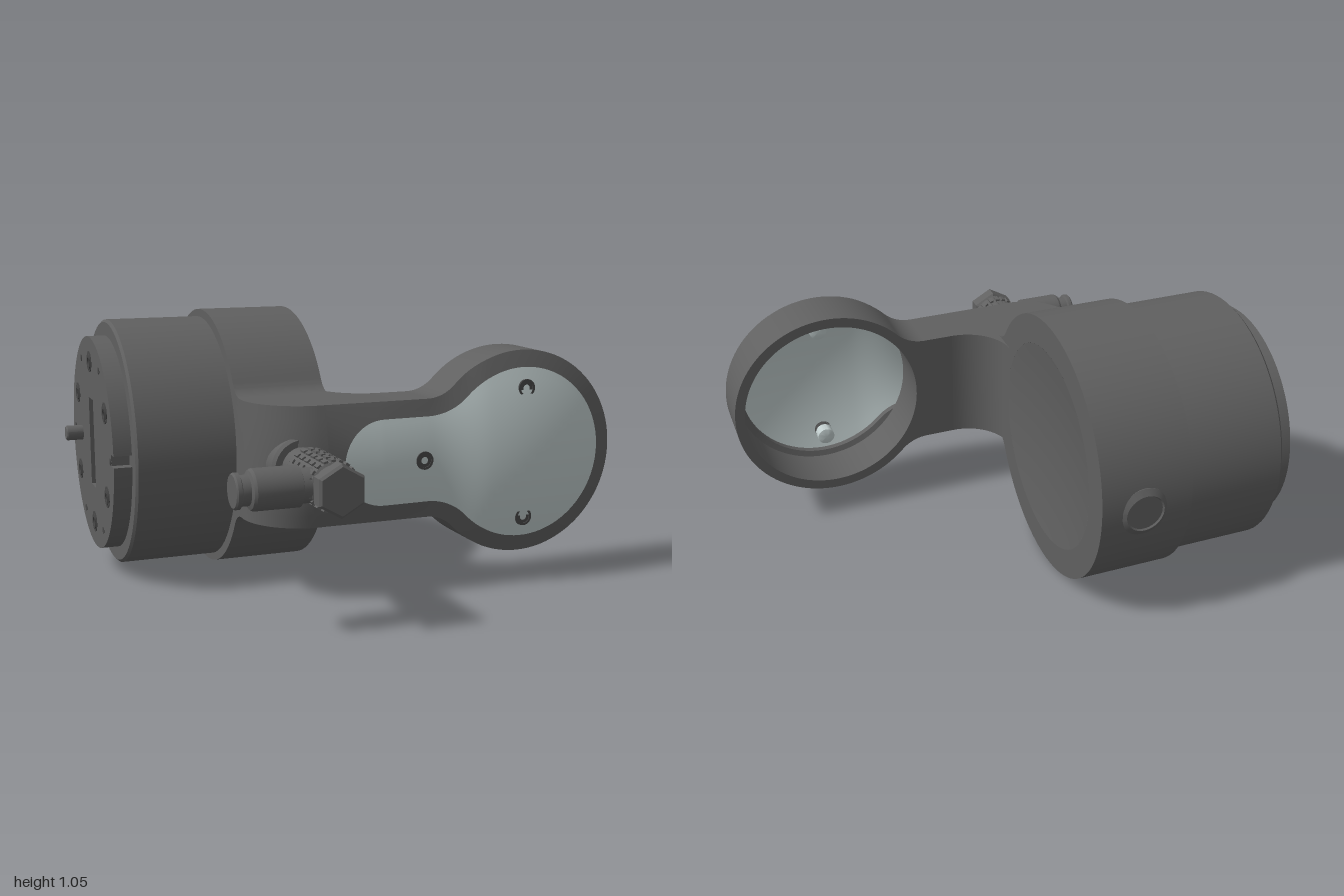
import * as THREE from 'three';
import { mergeGeometries, toCreasedNormals } from 'three/addons/utils/BufferGeometryUtils.js';

const dark = new THREE.MeshStandardMaterial({ color: 0x606060, side: THREE.DoubleSide });
const black = new THREE.MeshStandardMaterial({ color: 0x484848, side: THREE.DoubleSide });
const pale = new THREE.MeshStandardMaterial({ color: 0xc0cccc, side: THREE.DoubleSide });
const CY = 0.525; // height of the common centre plane
const HUB_Z = -0.335; // drum axis
const PAD_X = 0.6; // pad axis

export function createModel() {
  const root = new THREE.Group();
  root.name = 'elbowActuator';

  function add(name, geometry, material = dark, pos = [0, 0, 0], parent = root) {
    const mesh = new THREE.Mesh(toCreasedNormals(geometry, 0.5), material);
    mesh.name = name;
    mesh.position.set(...pos);
    parent.add(mesh);
    return mesh;
  }

  // Revolved part; profile is [radius, distance along axis]
  function turn(name, profile, axis, pos, material = dark, segments = 48) {
    const g = new THREE.LatheGeometry(profile.map((p) => new THREE.Vector2(...p)), segments);
    if (axis === 'x') g.rotateZ(-Math.PI / 2);
    if (axis === 'z') g.rotateX(Math.PI / 2);
    return add(name, g, material, pos);
  }

  // Surface through rows of equally many [x, y, z] points
  function grid(rows) {
    const n = rows[0].length, index = [];
    for (let i = 0; i < rows.length - 1; i++) {
      for (let j = 0; j < n - 1; j++) {
        const a = i * n + j, b = a + n;
        index.push(a, b, a + 1, b, b + 1, a + 1);
      }
    }
    const g = new THREE.BufferGeometry();
    g.setAttribute('position', new THREE.Float32BufferAttribute(rows.flat(2), 3));
    g.setIndex(index);
    g.computeVertexNormals();
    return g;
  }

  // Upper half of a keyhole: disc of radius R, filleted into a bar of half width h towards -u
  function keyhole({ R, h, rf, xc, end }, inset = 0, square = true) {
    const pts = [], a = Math.sqrt((R + rf) ** 2 - (h + rf) ** 2);
    const phi = Math.atan2(h + rf, -a);
    const arc = (cx, cy, rx, ry, from, to, n, box) => {
      for (let i = 0; i <= n; i++) {
        const t = from + ((to - from) * i) / n, c = Math.cos(t), s = Math.sin(t);
        const q = box ? 1 / Math.max(Math.abs(c), Math.abs(s)) : 1;
        pts.push([cx + rx * c * q, cy + ry * s * q]);
      }
    };
    arc(0, 0, R - inset, R - inset, 0, phi, 36);
    arc(-a, h + rf, rf + inset, rf + inset, phi + Math.PI, 1.5 * Math.PI, 10);
    arc(xc, 0, end - inset, h - inset, Math.PI / 2, Math.PI, 12, square);
    return pts;
  }
  const fullLoop = (half) => [...half, ...half.slice(0, -1).reverse().map(([u, v]) => [u, -v])];

  function extrudeKeyhole(spec, holeRadius, depth) {
    const shape = new THREE.Shape(fullLoop(keyhole(spec)).slice(0, -1).map((p) => new THREE.Vector2(...p)));
    shape.holes.push(new THREE.Path().absarc(0, 0, holeRadius, 0, Math.PI * 2, true));
    return new THREE.ExtrudeGeometry(shape, { depth, bevelEnabled: false, curveSegments: 64 });
  }

  // Hub with filleted neck and dished face
  const hub = { R: 0.525, h: 0.23, rf: 0.1, xc: -0.55, end: 0.01 };
  add('hub', extrudeKeyhole(hub, 0.41, 0.36), dark, [-0.465, CY, HUB_Z]).rotation.y = Math.PI / 2;
  const dish = [];
  for (let i = 0; i <= 10; i++) dish.push([0.041 * i, -0.03 * (1 - (i / 10) ** 2)]);
  turn('hubDish', dish, 'x', [-0.105, CY, HUB_Z], dark, 64);
  turn('rearPlug', [[0.1, 0], [0.1, 0.055], [0.075, 0.07], [0.07, 0.064], [0, 0.064]], 'z', [-0.275, CY, -0.8])
    .rotation.y = Math.PI;
  root.getObjectByName('rearPlug').position.z = -0.798;

  // Motor drum, with a narrow groove next to the hub
  turn('drum', [[0, -0.86], [0.485, -0.86], [0.495, -0.85], [0.495, -0.472], [0.48, -0.472], [0.48, -0.46], [0, -0.46]],
    'x', [0, CY, HUB_Z], dark, 80);

  // End flange with edge notch and connector slot
  const flange = new THREE.Shape();
  flange.absarc(0, 0, 0.43, Math.PI + 0.052, 3 * Math.PI - 0.052, false);
  flange.lineTo(-0.385, 0.022);
  flange.lineTo(-0.385, -0.022);
  const slot = new THREE.Path([[-0.045, -0.18], [-0.045, 0.18], [0.045, 0.18], [0.045, -0.18]]
    .map((p) => new THREE.Vector2(...p)));
  flange.holes.push(slot);
  add('endFlange', new THREE.ExtrudeGeometry(flange, { depth: 0.075, bevelEnabled: false, curveSegments: 80 }),
    dark, [-0.93, CY, HUB_Z]).rotation.y = Math.PI / 2;
  for (let i = 0; i < 6; i++) {
    const t = Math.PI / 2 + (i * Math.PI) / 3;
    const at = (r, a) => [-0.93, CY + r * Math.sin(a), HUB_Z + r * Math.cos(a)];
    turn('flangeBolt', [[0.042, 0.01], [0.042, -0.003], [0.032, -0.003], [0.032, -0.006], [0.017, -0.006], [0.017, 0], [0, 0]],
      'x', at(0.33, t), black, 24);
    turn('flangeDowel', [[0.014, 0.01], [0.014, -0.002], [0, -0.002]], 'x', at(0.37, t + 0.5), black, 16);
  }
  for (let i = 0; i < 8; i++) {
    turn('contactPin', [[0.01, 0.07], [0.01, 0.02], [0, 0.02]], 'x', [-0.93, CY - 0.14 + i * 0.04, HUB_Z], black, 10);
  }
  turn('locatingPin', [[0, -1], [0.026, -1], [0.031, -0.994], [0.031, -0.92]], 'x', [0, CY + 0.003, -0.56], dark, 24);

  // Elbow: lofted bend from the hub neck to the arm, crowned on the outside
  const stations = [];
  for (let i = -1; i <= 16; i++) {
    const t = Math.max(i, 0) / 16, c = Math.cos((t * Math.PI) / 2), s = Math.sin((t * Math.PI) / 2);
    const inner = [0.08 - 0.185 * c, 0.06 + 0.185 * s];
    const row = [[inner[0], CY + 0.23, inner[1]], [inner[0], CY - 0.23, inner[1]]];
    for (let j = 0; j <= 10; j++) {
      const dy = -0.23 + 0.046 * j, r = 0.25 - 0.75 * dy * dy * t;
      row.push([-0.215 - r * c, CY + dy, i < 0 ? 0.05 : 0.235 + r * s]);
    }
    row.push(row[0]);
    stations.push(row);
  }
  add('elbow', grid(stations));

  // Arm and hollow round pad
  const pad = { R: 0.4, h: 0.23, rf: 0.155, xc: -0.585, end: 0.23 };
  add('padBody', extrudeKeyhole(pad, 0.36, 0.195), dark, [PAD_X, CY, 0.245]);

  // Crowned front: dome over the pad blending into the arched arm
  const crown = (u, v) => {
    const k = THREE.MathUtils.smoothstep(u, -0.5, -0.15);
    return Math.max(0.445, THREE.MathUtils.lerp(0.485 - 0.75 * v * v, 0.515 - 0.4 * (u * u + v * v), k));
  };
  const rimRow = (inset, square, z = crown) =>
    fullLoop(keyhole(pad, inset, square)).map(([u, v]) => [PAD_X + u, CY + v, z(u, v)]);
  add('frontRim', grid([
    rimRow(0.065, false, (u, v) => crown(u, v) - 0.025), rimRow(0.065, false), rimRow(0.03, true),
    rimRow(0, true), rimRow(0, true, () => 0.438),
  ]));
  const plateRows = keyhole(pad, 0.065, false).map(([u, v]) => {
    const row = [];
    for (let j = 0; j <= 16; j++) {
      const y = v * (1 - j / 8);
      row.push([PAD_X + u, CY + y, crown(u, y)]);
    }
    return row;
  });
  add('coverPlate', grid(plateRows), pale);

  // Cover screws, with bosses behind those inside the pad
  for (const [x, y] of [[0.6, 0.78], [0.6, 0.27], [0.175, 0.525]]) {
    const z = crown(x - PAD_X, y - CY);
    turn('coverScrew', [[0.035, -0.02], [0.035, 0.004], [0.026, 0.004], [0.026, 0.001], [0.014, 0.001], [0.014, -0.004], [0, -0.004]],
      'z', [x, y, z], black, 24);
    if (x > 0.5) turn('screwBoss', [[0, -0.07], [0.018, -0.07], [0.035, -0.065], [0.035, -0.005]], 'z', [x, y, z], pale, 24);
  }

  // Cable connector: socket seat, knurled barrel, hex cap, side outlet
  const CX = -0.307;
  turn('connectorSeat', [[0.115, 0.3], [0.115, 0.44], [0.105, 0.455], [0.08, 0.455]], 'z', [CX, CY + 0.003, 0]);
  turn('connectorBarrel', [[0.08, 0.4], [0.08, 0.525], [0.086, 0.53], [0.086, 0.775], [0.078, 0.78], [0.078, 0.81], [0, 0.81]],
    'z', [CX, CY + 0.003, 0]);
  const teeth = [];
  for (let ring = 0; ring < 5; ring++) {
    for (let i = 0; i < 20; i++) {
      const tooth = new THREE.BoxGeometry(0.016, 0.02, 0.034);
      tooth.translate(0, 0.084, 0.552 + ring * 0.051);
      tooth.rotateZ((i * Math.PI) / 10);
      teeth.push(tooth);
    }
  }
  add('barrelKnurl', mergeGeometries(teeth), dark, [CX, CY + 0.003, 0]);
  turn('hexCap', [[0.088, 0.795], [0.096, 0.803], [0.096, 0.85], [0.086, 0.86], [0, 0.86]], 'z', [CX, CY + 0.003, 0], dark, 6);
  turn('cableOutlet', [[0, -0.655], [0.058, -0.655], [0.064, -0.649], [0.064, -0.635], [0.054, -0.63], [0.054, -0.6],
    [0.068, -0.595], [0.074, -0.585], [0.074, -0.42], [0.062, -0.415], [0.062, CX]], 'x', [0, CY + 0.003, 0.72], dark, 32);
  return root;
}
